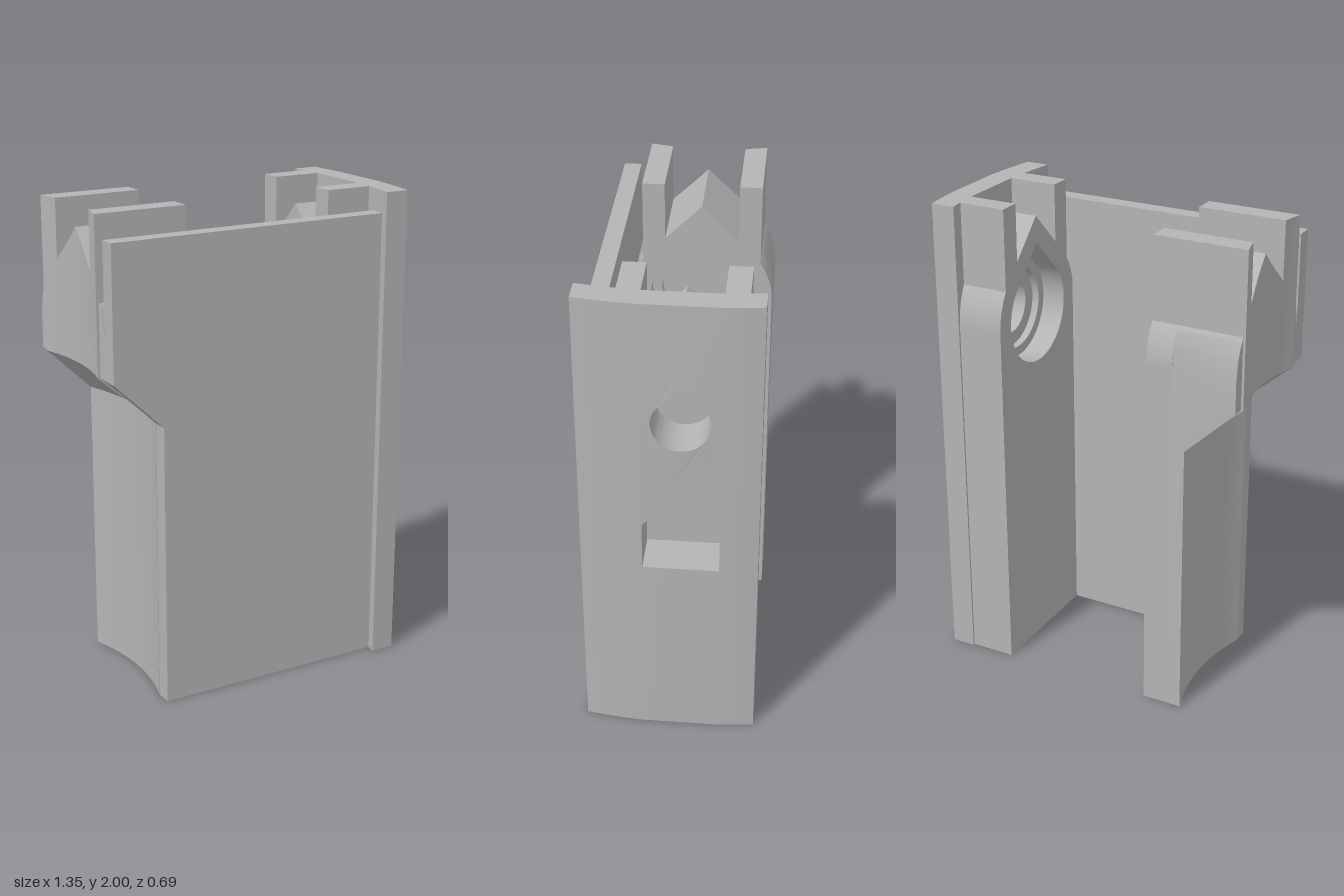
import * as THREE from 'three';
import { mergeGeometries, toCreasedNormals } from 'three/addons/utils/BufferGeometryUtils.js';

// Side profiles are drawn in (u, y) with u = -z; everything is symmetric about u = C.
const C = 0.05, HOLE_Y = 1.5, HULL_R = 0.29, HALF = 0.24, NOTCH = 0.15;

// Circle with a 45 degree pointed roof
function teardrop(r) {
  const p = new THREE.Path();
  p.absarc(C, HOLE_Y, r, Math.PI * 0.75, Math.PI * 2.25, false);
  p.lineTo(C, HOLE_Y + r * Math.SQRT2);
  p.closePath();
  return p;
}

// Square pocket with a pointed roof
function pentagon() {
  return new THREE.Path([[-0.15, 0.825], [0.15, 0.825], [0.15, 1.03], [0, 1.18], [-0.15, 1.03]]
    .map(([u, y]) => new THREE.Vector2(C + u, y)));
}

// Post outline: straight foot, rounded shoulders, two prongs and a gable between them
function postShape(holes) {
  const s = new THREE.Shape(), a = Math.acos(HALF / HULL_R);
  s.moveTo(C - HULL_R, 0);
  s.lineTo(C + HULL_R, 0);
  s.absarc(C, HOLE_Y, HULL_R, 0, a, false);
  for (const [u, y] of [[HALF, 2], [NOTCH, 2], [NOTCH, 1.76], [0, 1.91], [-NOTCH, 1.76], [-NOTCH, 2], [-HALF, 2]]) {
    s.lineTo(C + u, y);
  }
  s.absarc(C, HOLE_Y, HULL_R, Math.PI - a, Math.PI, false);
  s.closePath();
  s.holes.push(...holes);
  return s;
}

// Extrude a (u, y) shape along x
function alongX(shape, x0, x1) {
  const g = new THREE.ExtrudeGeometry(shape, { depth: x1 - x0, bevelEnabled: false, curveSegments: 32 });
  return g.rotateY(Math.PI / 2).translate(x0, 0, 0);
}

// Move every vertex by a rule
function warp(g, rule) {
  const p = g.attributes.position, v = new THREE.Vector3();
  for (let i = 0; i < p.count; i++) {
    v.fromBufferAttribute(p, i);
    rule(v);
    p.setXYZ(i, v.x, v.y, v.z);
  }
  return g;
}

// Evenly split a range, leaving out its last value
function split(a, b, n) {
  return Array.from({ length: n }, (_, i) => a + (b - a) * i / n);
}

export function createModel() {
  const group = new THREE.Group();
  const grey = new THREE.MeshStandardMaterial({ color: 0xb4b4b4 });
  const add = (name, parts) => {
    const mesh = new THREE.Mesh(toCreasedNormals(mergeGeometries(parts), 0.5), grey);
    mesh.name = name;
    group.add(mesh);
  };

  // Curved side plate with the two openings in its middle panel
  const outer = z => 0.67 - (z + C) ** 2 / 4.5;
  const edges = [...split(-0.35, -0.2, 4), -0.2, ...split(0.11, 0.345, 5), 0.345];
  const panels = [];
  for (let i = 0; i < edges.length - 1; i++) {
    const [a, b] = [edges[i], edges[i + 1]];
    const s = new THREE.Shape([[-b, 0], [-a, 0], [-a, 2], [-b, 2]].map(q => new THREE.Vector2(...q)));
    if (a === -0.2) s.holes.push(teardrop(0.113), pentagon());
    panels.push(warp(alongX(s, 0, 1), v => { v.x = outer(v.z) - 0.1 * (1 - v.x); }));
  }
  add('curvedSidePlate', panels);

  // Left post, with a stepped bore running out through the plate
  add('leftPost', [
    alongX(postShape([teardrop(0.21)]), 0.36, 0.46),
    alongX(postShape([teardrop(0.17)]), 0.46, 0.49),
    alongX(postShape([teardrop(0.113), pentagon()]), 0.49, 0.575),
  ]);

  // Right post, with a blind stepped bore
  add('rightPost', [
    alongX(postShape([teardrop(0.21)]), -0.37, -0.29),
    alongX(postShape([teardrop(0.17)]), -0.4, -0.37),
  ]);

  // Hollowed outer side of the right post, overhanging at the top
  const topAt = (z, mid) => {
    const d = Math.abs(z + C), m = Math.abs(mid + C);
    if (m > HALF) return HOLE_Y + Math.sqrt(Math.max(0, HULL_R ** 2 - d * d));
    return m > NOTCH ? 2 : 1.91 - d;
  };
  const zs = [...split(-0.34, -0.29, 5), ...split(-0.29, -0.2, 3), ...split(-0.2, -0.05, 4),
    ...split(-0.05, 0.1, 4), ...split(0.1, 0.19, 3), ...split(0.19, 0.24, 5), 0.24];
  const slices = [];
  for (let i = 0; i < zs.length - 1; i++) {
    const mid = (zs[i] + zs[i + 1]) / 2;
    const s = new THREE.Shape([[-0.4, 0], [-0.4, 3], [-0.67, 3], [-0.67, 1.37], [-0.46, 1.17], [-0.46, 0]]
      .map(q => new THREE.Vector2(...q)));
    const g = new THREE.ExtrudeGeometry(s, { depth: zs[i + 1] - zs[i], bevelEnabled: false });
    slices.push(warp(g.translate(0, 0, zs[i]), v => {
      const d = v.z + C;
      if (v.x < -0.6) v.x = Math.abs(mid + C) > HALF ? -0.665 : -0.675 + 0.035 * (1 - (d / HALF) ** 2);
      else if (v.x < -0.43) v.x += 0.05 * Math.max(0, 1 - (d / 0.3) ** 2);
      if (v.y > 2.5) v.y = topAt(v.z, mid);
    }));
  }
  add('rightPostOuterSide', slices);

  // Flat front wall with a sloped shoulder
  const wall = new THREE.Shape([[-0.455, 0], [0.56, 0], [0.56, 1.91], [-0.665, 1.91], [-0.665, 1.37], [-0.455, 1.17]]
    .map(q => new THREE.Vector2(...q)));
  add('frontWall', [new THREE.ExtrudeGeometry(wall, { depth: 0.07, bevelEnabled: false }).translate(0, 0, 0.235)]);

  return group;
}
